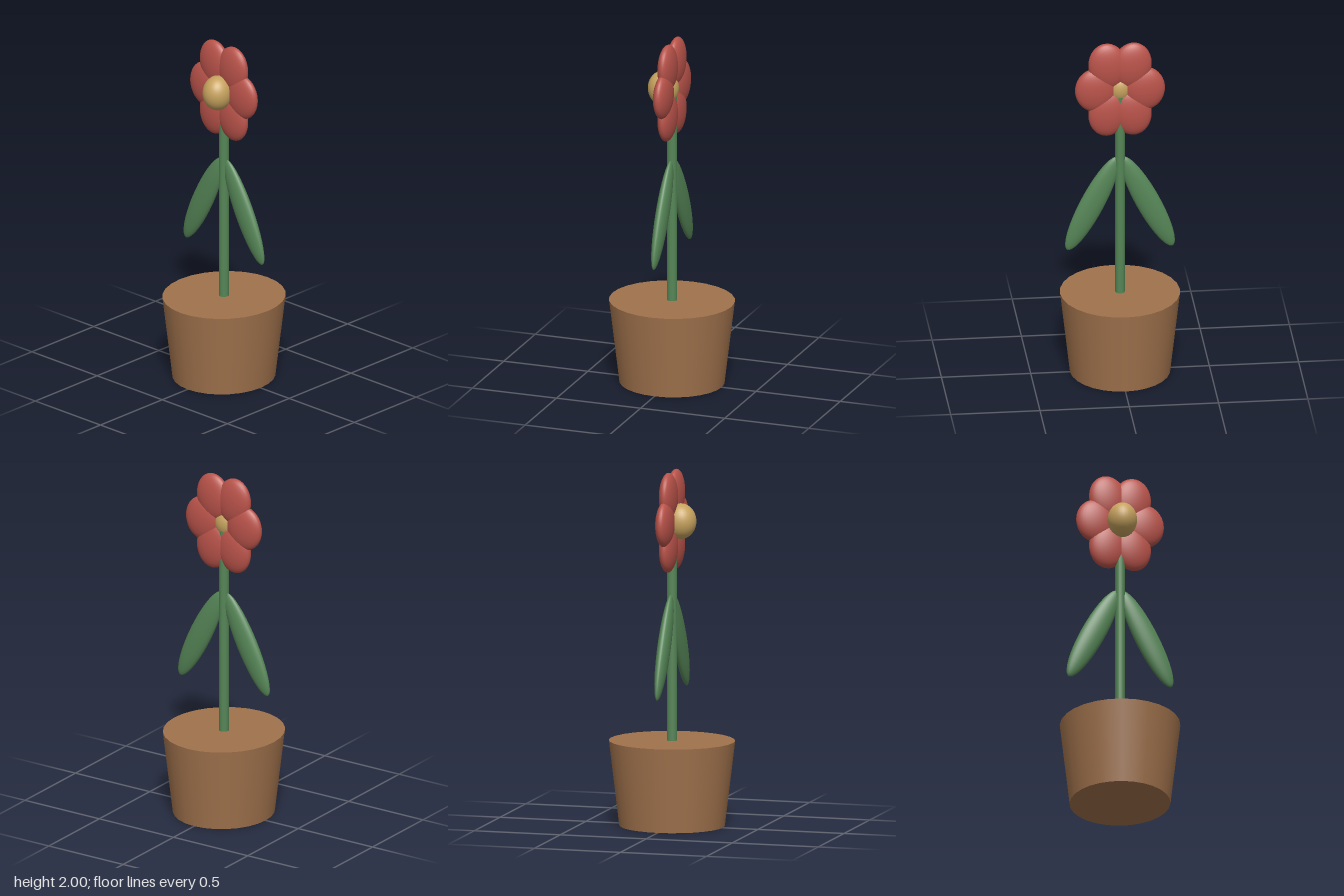
import * as THREE from 'three';

const paint = (name, color) => {
  const m = new THREE.MeshStandardMaterial({ color });
  m.name = name;
  return m;
};

export function createModel() {
  const clay = paint('clay brown', 0xa0724c);
  const green = paint('leaf green', 0x558556);
  const red = paint('petal red', 0xb9534a);
  const gold = paint('centre gold', 0xc6a25e);

  const model = new THREE.Group();
  model.name = 'pottedFlower';

  const add = (parent, name, geometry, material, x, y, z) => {
    const mesh = new THREE.Mesh(geometry, material);
    mesh.name = name;
    mesh.position.set(x, y, z);
    parent.add(mesh);
    return mesh;
  };
  const ellipsoid = (x, y, z) => new THREE.SphereGeometry(1, 32, 20).scale(x, y, z);

  // Tapered pot, slightly deeper than wide
  const pot = add(model, 'pot', new THREE.CylinderGeometry(0.354, 0.296, 0.48, 28), clay, 0, 0.24, 0);
  pot.scale.x = 0.947;

  // Stem rising from the pot into the flower
  const stem = add(model, 'stem', new THREE.CylinderGeometry(0.029, 0.029, 1.2, 20), green, 0, 1.08, 0);
  stem.scale.x = 0.947;

  // Mirrored drooping leaves
  for (const side of [1, -1]) {
    const name = side > 0 ? 'leftLeaf' : 'rightLeaf';
    const leaf = add(model, name, ellipsoid(0.068, 0.311, 0.034), green, side * 0.155, 1.025, 0);
    leaf.rotation.z = side * 0.466;
  }

  // Flower head, narrowed across its width
  const flower = new THREE.Group();
  flower.name = 'flower';
  flower.position.y = 1.718;
  flower.scale.x = 0.825;
  model.add(flower);

  // Ring of six petals
  for (let i = 0; i < 6; i++) {
    const a = (i * Math.PI) / 3;
    const petal = add(flower, 'petal' + (i + 1), ellipsoid(0.14, 0.13, 0.046), red,
      0.1655 * Math.cos(a), 0.1655 * Math.sin(a), 0);
    petal.rotation.z = a;
  }

  // Domed centre standing forward of the petals
  add(flower, 'flowerCentre', ellipsoid(0.1, 0.1, 0.088), gold, 0, 0, 0.051);

  return model;
}
